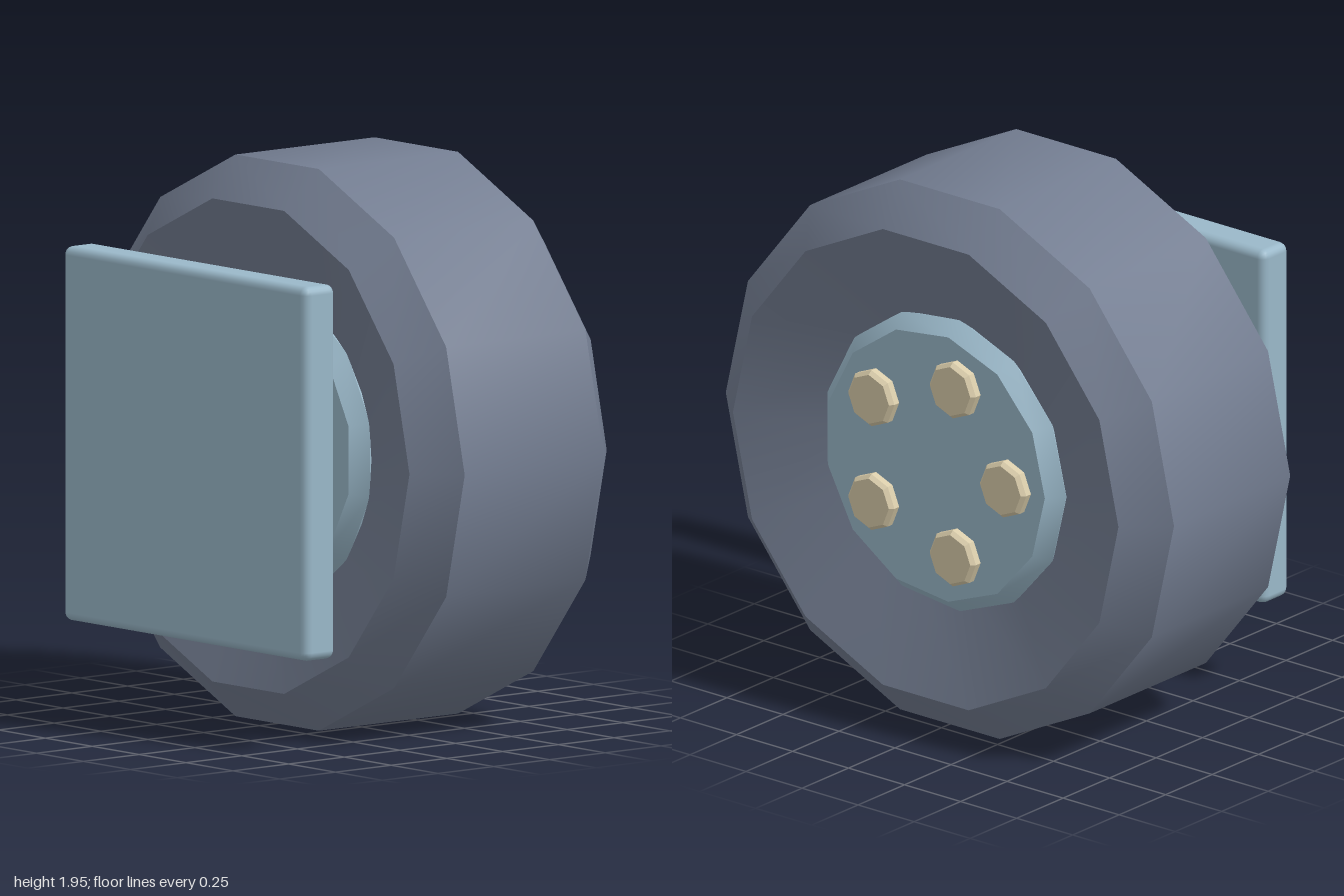
import * as THREE from 'three';
import { toCreasedNormals } from 'three/addons/utils/BufferGeometryUtils.js';
import { RoundedBoxGeometry } from 'three/addons/geometries/RoundedBoxGeometry.js';

const AXLE_Y = 0.975;

const material = (name, color) => {
  const m = new THREE.MeshStandardMaterial({ color });
  m.name = name;
  return m;
};

// Spins [radius, x] pairs around the x axis, smooth around, sharp along the profile
function turned(name, profile, sides, mat, start = 0) {
  const points = profile.map(([r, x]) => new THREE.Vector2(r, x));
  const lathe = new THREE.LatheGeometry(points, sides, start);
  lathe.rotateZ(-Math.PI / 2);
  const mesh = new THREE.Mesh(toCreasedNormals(lathe, 0.6), mat);
  mesh.name = name;
  mesh.position.y = AXLE_Y;
  return mesh;
}

export function createModel() {
  const rubber = material('slate rubber', 0x737d91);
  const steel = material('pale blue steel', 0x9ab8c9);
  const brass = material('sand metal', 0xd9ccaa);
  const model = new THREE.Group();
  model.name = 'wheel';

  // Tyre with chamfered shoulders and dished side walls
  model.add(turned('tyre', [
    [0.5, -0.18], [0.86, -0.3], [1, -0.17], [1, 0.455], [0.86, 0.585], [0.5, 0.465],
  ], 14, rubber));

  // Bevelled hub running through the tyre
  model.add(turned('hub', [
    [0, -0.25], [0.49, -0.25], [0.54, -0.195], [0.54, 0.48], [0.49, 0.535], [0, 0.535],
  ], 13, steel, Math.PI));

  // Axle between mounting plate and hub
  model.add(turned('axle', [
    [0, -0.455], [0.2, -0.455], [0.26, -0.395], [0.26, -0.2], [0, -0.2],
  ], 13, brass, Math.PI));

  // Ring of five wheel bolts
  const bolts = new THREE.Group();
  bolts.name = 'bolts';
  for (let i = 0; i < 5; i++) {
    const a = (i / 5) * Math.PI * 2;
    const bolt = turned('bolt', [
      [0, 0.5], [0.103, 0.5], [0.103, 0.56], [0.09, 0.575], [0, 0.575],
    ], 8, brass);
    bolt.position.y += Math.sin(a) * 0.325;
    bolt.position.z = -Math.cos(a) * 0.325;
    bolts.add(bolt);
  }
  model.add(bolts);

  // Square mounting plate
  const plate = new THREE.Mesh(new RoundedBoxGeometry(0.14, 1.3, 1.3, 2, 0.03), steel);
  plate.name = 'mountingPlate';
  plate.position.set(-0.52, AXLE_Y, 0);
  model.add(plate);

  return model;
}
